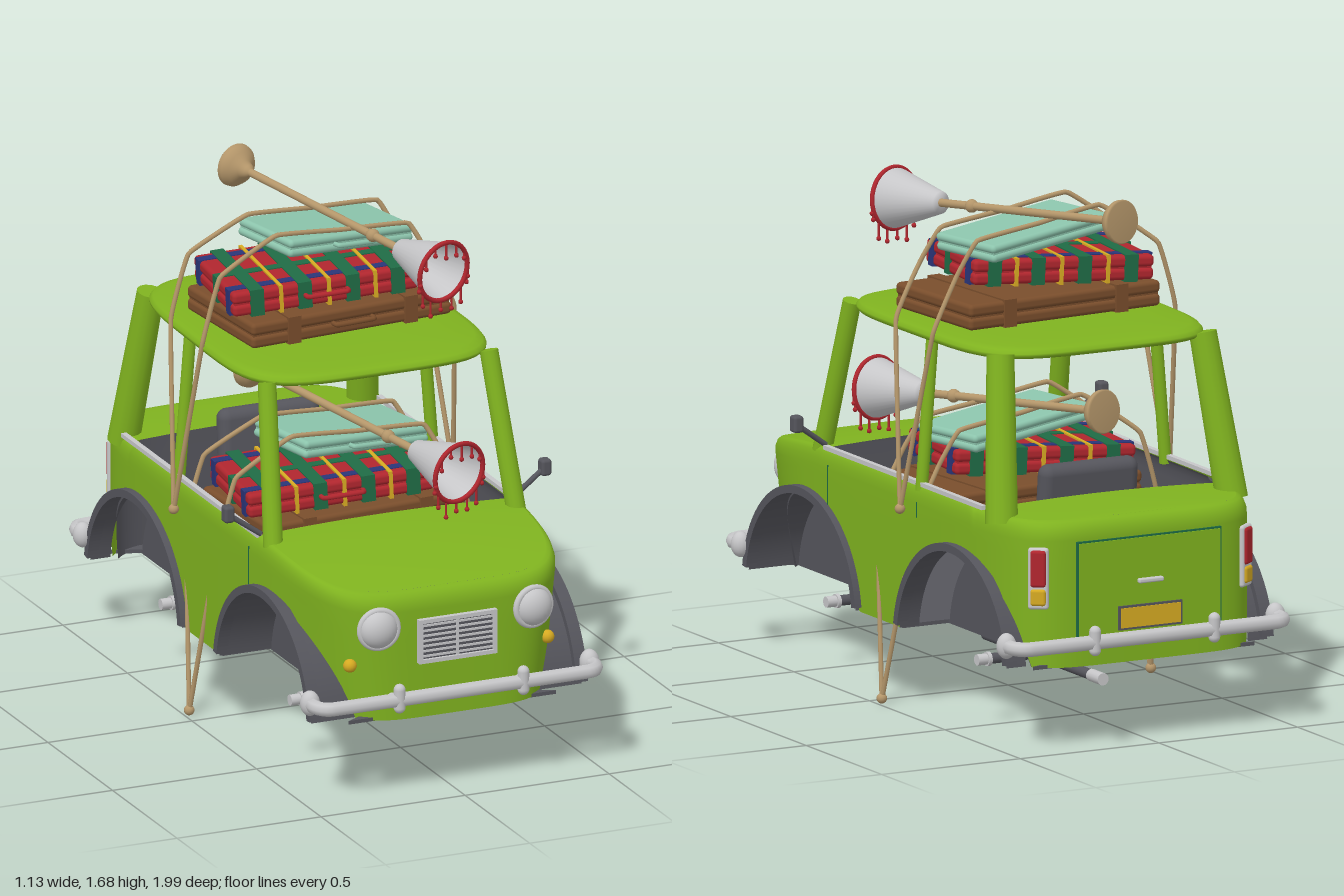
import * as THREE from 'three';
import { mergeVertices } from 'three/addons/utils/BufferGeometryUtils.js';
import { RoundedBoxGeometry } from 'three/addons/geometries/RoundedBoxGeometry.js';

const mat = (name, color, side = THREE.FrontSide) => {
  const m = new THREE.MeshStandardMaterial({ color, side });
  m.name = name;
  return m;
};
const V = (x, y, z) => new THREE.Vector3(x, y, z);

export function createModel() {
  const green = mat('lime green paint', 0x7fb21f, THREE.DoubleSide);
  const dark = mat('dark grey', 0x55555c, THREE.DoubleSide);
  const silver = mat('silver', 0xc6c6c8, THREE.DoubleSide);
  const tan = mat('tan', 0xb4966a);
  const red = mat('red', 0xb0262e);
  const mint = mat('mint', 0x8cc4ac);
  const brown = mat('brown leather', 0x7a4e2c);
  const forest = mat('forest green', 0x1f6b45);
  const gold = mat('gold', 0xd6aa22);
  const blue = mat('navy blue', 0x2a3578);

  const car = new THREE.Group();
  car.name = 'car';

  // ---- helpers ----
  const add = (parent, name, geo, m, pos = [0, 0, 0], rot = [0, 0, 0]) => {
    const mesh = new THREE.Mesh(geo, m);
    mesh.name = name;
    mesh.position.set(...pos);
    mesh.rotation.set(...rot);
    parent.add(mesh);
    return mesh;
  };
  const box = (x, y, z) => new THREE.BoxGeometry(x, y, z);
  const rod = (parent, name, a, b, r, m, r2 = r, seg = 14) => {
    const d = b.clone().sub(a);
    const mesh = add(parent, name, new THREE.CylinderGeometry(r2, r, d.length(), seg), m);
    mesh.position.copy(a).add(b).multiplyScalar(0.5);
    mesh.quaternion.setFromUnitVectors(V(0, 1, 0), d.normalize());
    return mesh;
  };
  const tube = (parent, name, pts, r, m, seg = 60) =>
    add(parent, name, new THREE.TubeGeometry(
      new THREE.CatmullRomCurve3(pts, false, 'catmullrom', 0.12), seg, r, 8), m);
  const surface = (nu, nv, fn) => {
    const p = [], idx = [];
    for (let j = 0; j <= nv; j++) for (let i = 0; i <= nu; i++) p.push(...fn(i / nu, j / nv));
    for (let j = 0; j < nv; j++) for (let i = 0; i < nu; i++) {
      const a = j * (nu + 1) + i, b = a + nu + 1;
      idx.push(a, b, a + 1, a + 1, b, b + 1);
    }
    const g = new THREE.BufferGeometry();
    g.setAttribute('position', new THREE.Float32BufferAttribute(p, 3));
    g.setIndex(idx);
    const merged = mergeVertices(g, 1e-5);
    merged.computeVertexNormals();
    return merged;
  };
  // rounded plan outline, sampled by direction
  const outline = (t, a, b, nf, nr) => {
    const c = Math.cos(t), s = Math.sin(t), n = s > 0 ? nf : nr;
    const r = (Math.abs(c / a) ** n + Math.abs(s / b) ** n) ** (-1 / n);
    return [r * c, r * s];
  };

  // ---- body shell with wheel arch cut-outs ----
  const W = 0.46, L = 0.932, ARCH_Y = 0.22, ARCH_R = 0.362, FLOOR = 0.26;
  const topY = z => z > 0.4 ? 0.742 - 0.062 * ((z - 0.4) / 0.53) ** 1.7 : 0.74 - (z < -0.6 ? 0.01 : 0);
  const bottomY = (x, z) => {
    const d = Math.abs(Math.abs(z) - 0.5);
    if (Math.abs(x) < 0.3 || d >= ARCH_R) return FLOOR;
    return Math.max(FLOOR, ARCH_Y + Math.sqrt(ARCH_R ** 2 - d * d));
  };
  const rows = [[0, 0, 1], [0.25, 0, 1], [0.5, 0, 1], [0.75, 0, 1], [1, -0.06, 1],
    [1, -0.035, 0.997], [1, -0.015, 0.986], [1, -0.004, 0.972], [1, 0, 0.955]];
  const shell = k => surface(360, rows.length - 1, (u, v) => {
    const [x, z] = outline(-u * Math.PI * 2, W, L, 5, 6);
    const [f, dy, s] = rows[Math.round(v * (rows.length - 1))];
    const lo = bottomY(x, z), hi = topY(z) - 0.06;
    const y = f < 1 ? lo + (hi - lo) * f : topY(z) + dy;
    const nose = THREE.MathUtils.smoothstep(z, 0.5, 0.93) * 0.14 * Math.max(0, (0.68 - y) / 0.42);
    return [x * s * k * (1 - nose), y - (k < 1 ? 0.004 : 0), z * s * k];
  });
  add(car, 'bodyShell', shell(1), green);
  add(car, 'interiorLining', shell(0.975), dark);

  // hood and rear deck close the shell at both ends
  const deck = (name, z0, z1, n) => add(car, name, surface(24, 30, (u, v) => {
    const z = z0 + (z1 - z0) * Math.sin(v * Math.PI / 2);
    const w = W * 0.955 * Math.max(0, 1 - Math.abs(z / (L * 0.955)) ** n) ** (1 / n);
    const q = (u * 2 - 1) * Math.sign(z1);
    const crown = 0.012 * (1 - q * q) * Math.cos(v * Math.PI / 2);
    return [q * w, topY(z / 0.955) + crown, z];
  }), green);
  deck('hood', 0.39, L * 0.955, 5);
  deck('rearDeck', -0.62, -L * 0.955, 6);

  // floor pan, narrowed between the wheel wells
  const pan = new THREE.Shape();
  const half = [[0.36, 0.9], [0.29, 0.86], [0.29, 0.14], [0.455, 0.14], [0.455, -0.14], [0.29, -0.14], [0.29, -0.86], [0.4, -0.9]];
  pan.setFromPoints([...half.map(p => new THREE.Vector2(p[0], -p[1])),
    ...half.slice().reverse().map(p => new THREE.Vector2(-p[0], -p[1]))]);
  add(car, 'floorPan', new THREE.ExtrudeGeometry(pan, { depth: 0.012, bevelEnabled: false }), dark, [0, 0.258, 0], [-Math.PI / 2, 0, 0]);

  // ---- wheel arches and wells ----
  const a0 = Math.asin((0.275 - ARCH_Y) / 0.378);
  const lip = new THREE.Shape();
  lip.absarc(0, 0, 0.378, a0, Math.PI - a0, false);
  lip.absarc(0, 0, 0.352, Math.PI - a0, a0, true);
  const well = new THREE.Shape();
  well.absarc(0, 0, 0.357, 0.12, Math.PI - 0.12, false);
  const ext = (s, depth) => new THREE.ExtrudeGeometry(s, { depth, bevelEnabled: false, curveSegments: 40 });
  for (const s of [-1, 1]) for (const z of [0.5, -0.5]) {
    const inner = z > 0 ? 0.28 : 0.4, turn = [0, Math.PI / 2, 0];
    add(car, 'archLip', ext(lip, 0.04), dark, [s > 0 ? 0.443 : -0.483, ARCH_Y, z], turn);
    add(car, 'wellPlate', ext(well, 0.01), dark, [s * 0.285 - 0.005, ARCH_Y, z], turn);
    add(car, 'wellLiner', surface(40, 1, (u, v) => {
      const t = 0.12 + u * (Math.PI - 0.24);
      return [s * (inner + (0.47 - inner) * v), ARCH_Y + 0.357 * Math.sin(t), z + 0.357 * Math.cos(t)];
    }), dark);
  }

  // ---- cabin: roof, pillars, door rails, seat ----
  const roofRows = [[0, 1.208], [0.94, 1.208], [0.985, 1.21], [1, 1.218], [1, 1.226], [0.98, 1.238], [0.93, 1.246], [0.7, 1.253], [0, 1.256]];
  add(car, 'roof', surface(96, roofRows.length - 1, (u, v) => {
    const [x, z] = outline(-u * Math.PI * 2, 0.435, 0.535, 4.5, 4.5);
    const [s, y] = roofRows[Math.round(v * (roofRows.length - 1))];
    return [x * s * (1 + 0.04 * z), y, z * s - 0.155];
  }), green);
  for (const s of [-1, 1]) {
    rod(car, 'frontPillar', V(s * 0.422, 0.72, 0.455), V(s * 0.385, 1.225, 0.325), 0.032, green, 0.03);
    rod(car, 'rearPillar', V(s * 0.415, 0.70, -0.72), V(s * 0.365, 1.225, -0.62), 0.053, green, 0.045);
    rod(car, 'middlePillar', V(s * 0.44, 0.72, -0.235), V(s * 0.4, 1.22, -0.235), 0.02, green);
    add(car, 'doorRail', box(0.018, 0.014, 1.05), silver, [s * 0.443, 0.743, -0.13]);
    for (const z of [0.35, -0.24]) add(car, 'doorSeam', box(0.006, z > 0 ? 0.13 : 0.05, 0.004), forest, [s * 0.458, z > 0 ? 0.63 : 0.66, z]);
    // door mirrors
    rod(car, 'mirrorArm', V(s * 0.44, 0.75, 0.4), V(s * 0.54, 0.82, 0.39), 0.009, dark);
    add(car, 'mirror', new RoundedBoxGeometry(0.035, 0.055, 0.04, 3, 0.01), dark, [s * 0.55, 0.83, 0.39]);
  }
  add(car, 'rearSeatBack', new RoundedBoxGeometry(0.35, 0.24, 0.07, 5, 0.034), dark, [0, 0.71, -0.52], [-0.1, 0, 0]);

  // ---- front fittings ----
  for (const s of [-1, 1]) {
    add(car, 'headlight', new THREE.SphereGeometry(0.064, 28, 16), silver, [s * 0.268, 0.575, 0.925]).scale.z = 0.75;
    add(car, 'headlightRing', new THREE.TorusGeometry(0.062, 0.011, 10, 32), silver, [s * 0.268, 0.575, 0.93], [0, s * 0.12, 0]);
    add(car, 'indicator', new THREE.SphereGeometry(0.022, 16, 10), gold, [s * 0.343, 0.445, 0.873]);
  }
  add(car, 'grilleBack', box(0.25, 0.135, 0.02), dark, [0, 0.517, 0.93]);
  for (const s of [-1, 1]) {
    add(car, 'grilleFrame', box(0.27, 0.013, 0.03), silver, [0, 0.517 + s * 0.067, 0.935]);
    add(car, 'grilleFrame', box(0.013, 0.147, 0.03), silver, [s * 0.129, 0.517, 0.935]);
  }
  for (let i = -3; i <= 3; i++) add(car, 'grilleSlat', box(0.25, 0.007, 0.012), silver, [0, 0.517 + i * 0.017, 0.938]);
  add(car, 'grilleBar', box(0.008, 0.13, 0.012), silver, [0, 0.517, 0.939]);

  // ---- bumpers ----
  for (const d of [1, -1]) {
    tube(car, 'bumper', [V(-0.485, 0.342, 0.88 * d), V(-0.485, 0.342, 0.925 * d), V(-0.44, 0.342, 0.965 * d),
      V(0.44, 0.342, 0.965 * d), V(0.485, 0.342, 0.925 * d), V(0.485, 0.342, 0.88 * d)], 0.024, silver, 100);
    for (const s of [-1, 1]) {
      add(car, 'bumperEnd', new THREE.SphereGeometry(0.032, 16, 12), silver, [s * 0.485, 0.342, 0.88 * d]).scale.y = 1.3;
      add(car, 'overrider', new THREE.CapsuleGeometry(0.019, 0.06, 6, 14), silver, [s * 0.215, 0.348, 0.972 * d]);
      rod(car, 'bumperBracket', V(s * 0.22, 0.342, 0.9 * d), V(s * 0.22, 0.342, 0.965 * d), 0.012, silver);
    }
  }

  // ---- rear fittings ----
  add(car, 'bootLidEdge', box(0.52, 0.35, 0.02), forest, [0, 0.49, -0.926]);
  add(car, 'bootLid', box(0.508, 0.338, 0.02), green, [0, 0.49, -0.93]);
  add(car, 'bootHandle', new RoundedBoxGeometry(0.09, 0.016, 0.02, 2, 0.006), silver, [0, 0.52, -0.945]);
  add(car, 'plateFrame', box(0.23, 0.078, 0.008), dark, [0, 0.405, -0.942]);
  add(car, 'plate', box(0.215, 0.064, 0.008), gold, [0, 0.405, -0.945]);
  for (const s of [-1, 1]) {
    const lamp = new THREE.Group();
    lamp.name = 'tailLight';
    lamp.position.set(s * 0.372, 0.55, -0.885);
    lamp.rotation.y = Math.PI - s * 0.6;
    add(lamp, 'lampFrame', new RoundedBoxGeometry(0.066, 0.2, 0.024, 3, 0.01), silver);
    add(lamp, 'redLens', new RoundedBoxGeometry(0.05, 0.12, 0.024, 3, 0.01), red, [0, 0.033, 0.007]);
    add(lamp, 'amberLens', new RoundedBoxGeometry(0.05, 0.055, 0.024, 3, 0.01), gold, [0, -0.06, 0.007]);
    car.add(lamp);
  }

  // ---- underside ----
  for (const z of [0.5, -0.5]) {
    rod(car, 'axle', V(-0.36, 0.215, z), V(0.355, 0.215, z), 0.017, dark);
    for (const s of [-1, 1]) {
      rod(car, 'axleEnd', V(s * 0.34, 0.215, z), V(s * 0.385, 0.215, z), 0.018, silver);
      add(car, 'axleHub', new THREE.CylinderGeometry(0.023, 0.023, 0.012, 16), silver, [s * 0.345, 0.215, z], [0, 0, Math.PI / 2]);
      add(car, 'axleHanger', box(0.04, 0.05, 0.04), dark, [s * 0.16, 0.24, z]);
    }
  }
  rod(car, 'exhaust', V(0.2, 0.227, -0.22), V(0.2, 0.227, -0.94), 0.017, dark);
  rod(car, 'exhaustTip', V(0.2, 0.227, -0.92), V(0.2, 0.227, -0.998), 0.02, silver);

  // ---- luggage stack ----
  const luggage = new THREE.Group();
  luggage.name = 'roofLuggage';
  const bag = (name, w, h, d, m, pos, rot) => {
    const g = new THREE.Group();
    g.name = name;
    g.position.set(...pos);
    g.rotation.set(...rot);
    for (const s of [-1, 1]) add(g, name + 'Half', new RoundedBoxGeometry(w, h / 2 - 0.002, d, 3, 0.014), m, [0, s * h / 4, 0]);
    add(g, name + 'Seam', box(w - 0.015, 0.02, d - 0.015), m);
    tube(g, name + 'Handle', [V(-0.07, 0, d / 2), V(-0.065, 0, d / 2 + 0.025), V(0.065, 0, d / 2 + 0.025), V(0.07, 0, d / 2)], 0.008, m, 24);
    luggage.add(g);
    return g;
  };
  const big = bag('brownCase', 0.72, 0.085, 0.44, brown, [0.008, 1.297, -0.147], [0, 0.077, 0]);
  for (const s of [-1, 1]) add(big, 'caseStrap', box(0.045, 0.093, 0.452), brown, [s * 0.21, 0, 0]);
  const plaid = bag('plaidCase', 0.62, 0.082, 0.4, red, [-0.045, 1.403, -0.13], [0, -0.1, 0.05]);
  for (const x of [-0.23, -0.07, 0.09, 0.24]) add(plaid, 'greenBand', box(0.045, 0.088, 0.406), forest, [x, 0, 0]);
  for (const x of [-0.15, 0.01, 0.165]) add(plaid, 'yellowBand', box(0.012, 0.091, 0.409), gold, [x, 0, 0]);
  for (const z of [-0.15, 0.15]) add(plaid, 'blueBand', box(0.627, 0.085, 0.035), blue, [0, 0, z]);
  add(plaid, 'greenLongBand', box(0.625, 0.0865, 0.035), forest, [0, 0, 0.02]);
  bag('mintCase', 0.49, 0.06, 0.285, mint, [0.05, 1.512, -0.19], [0, 0.21, -0.09]);

  // long horn: tan cup and rod, pale cone with red fringe
  const tail = V(-0.075, 1.61, -0.625), mouth = V(0.205, 1.53, 0.375);
  const span = mouth.distanceTo(tail);
  const horn = new THREE.Group();
  horn.name = 'horn';
  horn.position.copy(tail);
  horn.quaternion.setFromUnitVectors(V(0, 1, 0), mouth.clone().sub(tail).normalize());
  const lathe = pts => new THREE.LatheGeometry(pts.map(p => new THREE.Vector2(...p)), 32);
  add(horn, 'hornCup', lathe([[0, 0], [0.066, 0], [0.071, 0.006], [0.069, 0.02], [0.055, 0.04], [0.03, 0.055], [0.022, 0.075], [0.013, 0.085]]), tan);
  add(horn, 'hornRod', new THREE.CylinderGeometry(0.013, 0.013, 0.78, 14), tan, [0, 0.46, 0]);
  add(horn, 'hornKnob', new THREE.SphereGeometry(0.022, 14, 10), tan, [0, 0.69, 0]);
  add(horn, 'hornCone', lathe([[0, 0.83], [0.036, 0.83], [0.098, span]]), silver);
  add(horn, 'hornRim', new THREE.TorusGeometry(0.098, 0.008, 8, 36), red, [0, span, 0], [Math.PI / 2, 0, 0]);
  luggage.add(horn);
  for (let i = 0; i < 14; i++) {
    const t = i / 14 * Math.PI * 2;
    const a = V(0.1 * Math.cos(t), 0, 0.1 * Math.sin(t)).applyQuaternion(horn.quaternion).add(mouth);
    const b = a.clone().setY(a.y - 0.03 - 0.012 * ((i * 5) % 3));
    rod(luggage, 'fringe', a, b, 0.004, red, 0.004, 8);
    add(luggage, 'fringeTip', new THREE.SphereGeometry(0.008, 8, 6), red, b.toArray());
  }

  // ropes tied over the stack down to side hooks
  for (const [z, zl, zr] of [[-0.06, -0.02, -0.09], [-0.305, -0.24, -0.33]]) {
    tube(luggage, 'rope', [V(-0.485, 0.65, -0.175), V(-0.437, 1.24, z), V(-0.375, 1.455, z), V(-0.2, 1.582, zl),
      V(0.04, 1.556, (zl + zr) / 2), V(0.29, 1.532, zr), V(0.35, 1.42, z), V(0.437, 1.24, z), V(0.485, 0.65, -0.175)], 0.008, tan, 160);
  }
  for (const s of [-1, 1]) add(luggage, 'ropeHook', new THREE.SphereGeometry(0.017, 14, 10), tan, [s * 0.485, 0.655, -0.175]);
  car.add(luggage);

  // same stack again inside the cabin
  const inside = luggage.clone();
  inside.name = 'cabinLuggage';
  inside.position.set(0, -0.637, 0.12);
  car.add(inside);

  return car;
}
